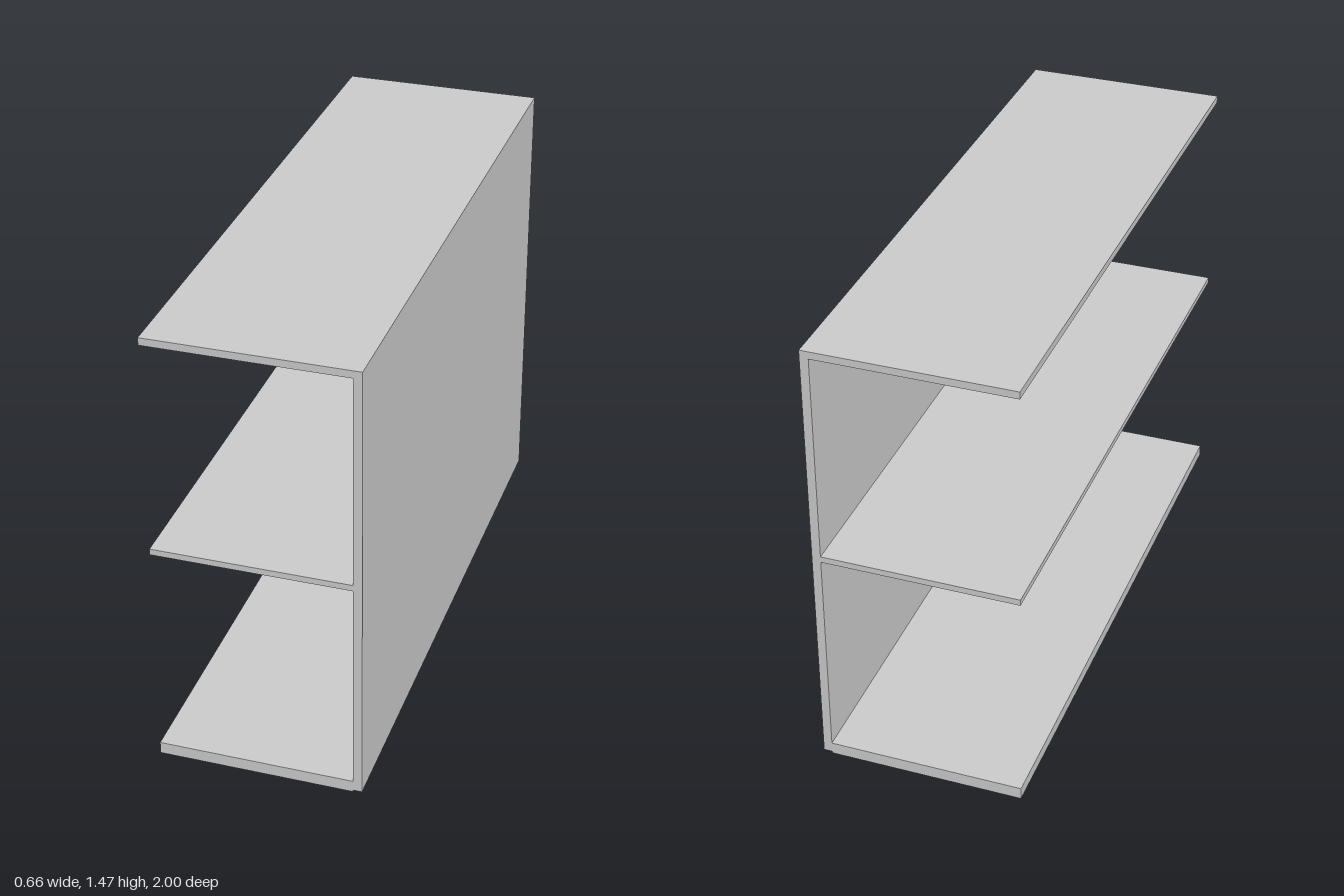
import * as THREE from 'three';

export function createModel() {
  const model = new THREE.Group();
  model.name = 'shelfUnit';
  const material = new THREE.MeshStandardMaterial({ color: 0xcccccc });
  const depth = 1.996;

  // Board running the full depth, given by its x and y limits
  function board(name, x0, x1, y0, y1) {
    const mesh = new THREE.Mesh(new THREE.BoxGeometry(x1 - x0, y1 - y0, depth), material);
    mesh.position.set((x0 + x1) / 2, (y0 + y1) / 2, 0);
    mesh.name = name;
    model.add(mesh);
  }

  // Upright panel on the left, with three shelves reaching out to the right
  board('uprightPanel', 0.298, 0.326, 0.006, 1.47);
  const shelves = [
    ['bottomShelf', 0, 0.04],
    ['middleShelf', 0.742, 0.762],
    ['topShelf', 1.446, 1.47],
  ];
  for (const [name, y0, y1] of shelves) board(name, -0.329, 0.298, y0, y1);

  // The unit stands very slightly turned
  model.rotation.y = -0.004;
  return model;
}
